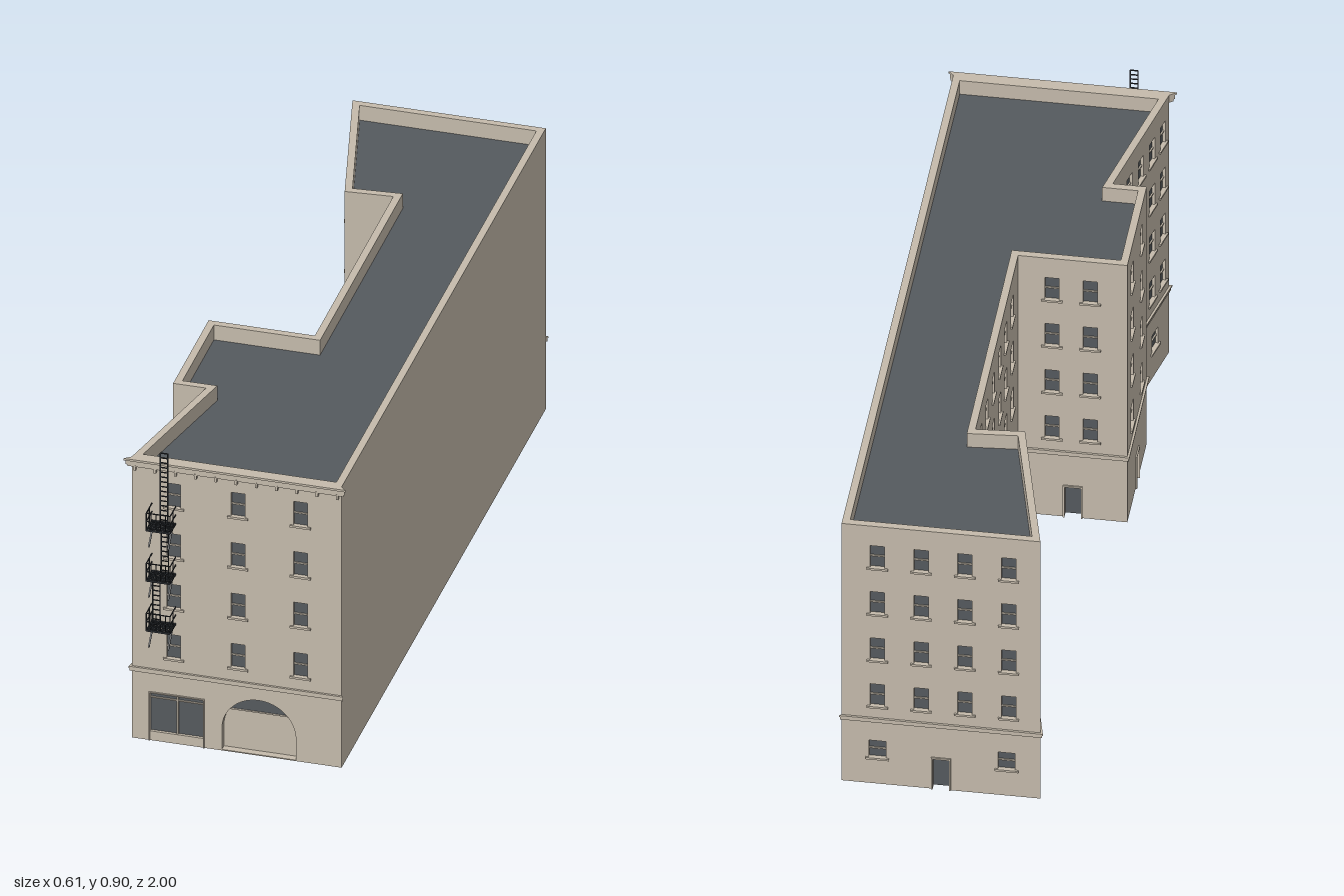
import * as THREE from 'three';

const mat = (name, color, side = THREE.FrontSide) => {
  const m = new THREE.MeshStandardMaterial({ color, side });
  m.name = name;
  return m;
};

const H = 0.855, T = 0.02, ROOF_Y = 0.81;
const ROWS = [0.258, 0.411, 0.565, 0.718]; // window bottoms on the upper floors

// Footprint corners (x, z), each wall running left to right as seen from outside
const PLAN = [[-0.29, 0.945], [0.283, 0.945], [0.288, -0.99], [-0.24, -0.99], [-0.13, -0.53],
  [0, -0.54], [0, 0.21], [-0.29, 0.21], [-0.29, 0.55], [-0.2, 0.55]];

// Per wall: upper window columns, ground windows and doors, as fractions of the length
const WALLS = [
  { name: 'frontWall', cols: [0.2, 0.506, 0.804], front: true },
  { name: 'sideWall', plain: true },
  { name: 'backWall', cols: [0.18, 0.4, 0.62, 0.84], small: [0.18, 0.83], doors: [0.5] },
  { name: 'rearSlantWall', cols: [0.2, 0.48, 0.77], small: [0.77], doors: [0.48] },
  { name: 'rearNotchWall' },
  { name: 'courtWall', cols: [0.12, 0.27, 0.42, 0.57, 0.71, 0.86], small: [0.15, 0.3, 0.71, 0.86], doors: [0.5] },
  { name: 'wingBackWall', cols: [0.31, 0.66], doors: [0.5] },
  { name: 'wingWall', cols: [0.25, 0.74], doors: [0.5] },
  { name: 'frontNotchWall' },
  { name: 'frontSlantWall', cols: [0.11, 0.3, 0.5, 0.7, 0.89], small: [0.75], doors: [0.5] },
];

export function createModel() {
  const stone = mat('stone', 0xc5bbac);
  const slate = mat('slate', 0x555a5e);
  const iron = mat('iron', 0x2b2f33);
  const model = new THREE.Group();
  model.name = 'building';

  const add = (parent, name, geo, material) => {
    const mesh = new THREE.Mesh(geo, material);
    mesh.name = name;
    parent.add(mesh);
    return mesh;
  };
  // Box given by its min and max corners
  const box = (parent, name, m, x0, x1, y0, y1, z0, z1) => add(parent, name,
    new THREE.BoxGeometry(x1 - x0, y1 - y0, z1 - z0)
      .translate((x0 + x1) / 2, (y0 + y1) / 2, (z0 + z1) / 2), m);

  const n = PLAN.length;
  const dir = PLAN.map((p, i) => {
    const q = PLAN[(i + 1) % n];
    return new THREE.Vector2(q[0] - p[0], -(q[1] - p[1]));
  });
  // Mitre slope at the start corner of each wall
  const slope = dir.map((b, i) => {
    const a = dir[(i + n - 1) % n];
    return Math.tan(Math.atan2(a.cross(b), a.dot(b)) / 2);
  });

  WALLS.forEach((w, i) => {
    const L = dir[i].length(), m0 = slope[i], m1 = slope[(i + 1) % n];
    const g = new THREE.Group();
    g.name = w.name;
    g.position.set(PLAN[i][0], 0, PLAN[i][1]);
    g.rotation.y = dir[i].angle();
    model.add(g);

    // Slide the end vertices so that neighbouring walls meet in a clean mitre
    const mitre = (geo) => {
      const p = geo.attributes.position;
      for (let k = 0; k < p.count; k++) {
        const x = p.getX(k), z = p.getZ(k);
        if (x < 1e-4) p.setX(k, x - z * m0);
        else if (x > L - 1e-4) p.setX(k, x + z * m1);
      }
      geo.computeVertexNormals();
      return geo;
    };
    const band = (name, y0, y1, out) => mitre(box(g, name, stone, 0, L, y0, y1, 0, out).geometry);

    const holes = [];
    const windowAt = (cx, y, wd, ht) => {
      const a = cx - wd / 2, b = cx + wd / 2;
      holes.push([a, b, y, y + ht]);
      box(g, 'windowGlass', slate, a, b, y, y + ht, -0.014, -0.008);
      box(g, 'windowRail', stone, a, b, y + ht / 2 - 0.002, y + ht / 2 + 0.002, -0.008, -0.004);
      box(g, 'windowSill', stone, a - 0.009, b + 0.009, y - 0.006, y, -0.004, 0.005);
    };
    for (const c of w.cols || []) for (const y of ROWS) windowAt(c * L, y, 0.038, 0.072);
    for (const c of w.small || []) windowAt(c * L, 0.087, 0.045, 0.055);

    // Wall outline, notched at the base for doors and the archway
    const s = new THREE.Shape();
    s.moveTo(0, 0);
    for (const c of w.doors || []) {
      const a = c * L - 0.022, b = c * L + 0.022, h = 0.1;
      s.lineTo(a, 0); s.lineTo(a, h); s.lineTo(b, h); s.lineTo(b, 0);
      box(g, 'door', slate, a, b, 0, h, -0.024, -0.018);
      for (const x of [a - 0.004, b]) box(g, 'doorJamb', stone, x, x + 0.004, 0, h, -0.01, 0.004);
      box(g, 'doorLintel', stone, a - 0.004, b + 0.004, h, h + 0.005, -0.01, 0.004);
    }
    if (w.front) {
      const cx = 0.347, r = 0.101, spring = 0.067;
      s.lineTo(cx - r, 0); s.lineTo(cx - r, spring);
      s.absarc(cx, spring, r, Math.PI, 0, true);
      s.lineTo(cx + r, 0);
      // Archway: fanlight over a recessed panel and a threshold
      box(g, 'archPanel', stone, cx - r, cx + r, 0, 0.124, -0.03, -0.02);
      box(g, 'archTransom', stone, cx - r, cx + r, 0.121, 0.125, -0.02, -0.014);
      box(g, 'archThreshold', stone, cx - r, cx + r, 0, 0.003, -0.02, 0);
      const fan = new THREE.Shape();
      const t = Math.asin((0.124 - spring) / r);
      fan.absarc(cx, spring, r, t, Math.PI - t, false);
      add(g, 'archFanlight', new THREE.ExtrudeGeometry(fan,
        { depth: 0.006, bevelEnabled: false, curveSegments: 20 }).translate(0, 0, -0.022), slate);
      // Shop window with frame, mullion and transom
      holes.push([0.05, 0.196, 0.028, 0.145]);
      box(g, 'shopGlass', slate, 0.05, 0.196, 0.028, 0.145, -0.014, -0.008);
      box(g, 'shopMullion', stone, 0.121, 0.126, 0.028, 0.145, -0.008, -0.002);
      box(g, 'shopTransom', stone, 0.05, 0.196, 0.128, 0.131, -0.008, -0.003);
      for (const x of [0.047, 0.196]) box(g, 'shopFrame', stone, x, x + 0.003, 0, 0.148, -0.005, 0.004);
      box(g, 'shopFrame', stone, 0.047, 0.199, 0.145, 0.148, -0.005, 0.004);
      // Cornice with brackets
      band('corniceBase', 0.83, 0.836, 0.008);
      band('corniceFace', 0.836, 0.849, 0.011);
      band('corniceCap', 0.849, H, 0.015);
      for (let k = 0; k < 11; k++) {
        const x = 0.01 + k * 0.0553;
        box(g, 'corniceBracket', stone, x - 0.003, x + 0.003, 0.819, 0.834, 0, 0.009);
      }
    }
    s.lineTo(L, 0); s.lineTo(L, H); s.lineTo(0, H); s.closePath();
    for (const [a, b, y0, y1] of holes) {
      s.holes.push(new THREE.Path([[a, y0], [a, y1], [b, y1], [b, y0]].map((p) => new THREE.Vector2(...p))));
    }
    add(g, 'wallFace', mitre(new THREE.ExtrudeGeometry(s,
      { depth: T, bevelEnabled: false, curveSegments: 24 }).translate(0, 0, -T)), stone);
    if (!w.plain) {
      band('stringCourse', 0.205, 0.214, 0.004);
      band('stringCourseCap', 0.214, 0.219, 0.006);
    }
  });

  // Flat roof set down behind the parapet
  const inner = PLAN.map(([x, z], i) => {
    const u = dir[i].clone().normalize(), k = T * 0.6;
    return new THREE.Vector2(x + k * (u.x * slope[i] - u.y), -z + k * (u.y * slope[i] + u.x));
  });
  add(model, 'roof', new THREE.ExtrudeGeometry(new THREE.Shape(inner),
    { depth: 0.01, bevelEnabled: false }).rotateX(-Math.PI / 2).translate(0, ROOF_Y - 0.01, 0), slate);

  // Fire escape
  const escape = new THREE.Group();
  escape.name = 'fireEscape';
  model.add(escape);
  const X0 = -0.235, X1 = -0.17, Z0 = 0.945, Z1 = 1, R = 0.0012;
  const bar = (name, x0, x1, y0, y1, z0, z1) => box(escape, name, iron, x0, x1, y0, y1, z0, z1);
  for (const y of [0.365, 0.517, 0.67]) {
    // Grated platform
    for (let k = 0; k <= 10; k++) {
      const x = X0 + (X1 - X0) * k / 10;
      bar('platformSlat', x - R, x + R, y - 0.002, y + 0.002, Z0, Z1);
    }
    for (let k = 0; k <= 4; k++) {
      const z = Z0 + 0.002 + (Z1 - Z0 - 0.004) * k / 4;
      bar('platformBeam', X0, X1, y - 0.003, y + 0.002, z - 0.002, z + 0.002);
    }
    // Railing
    for (const h of [0.027, 0.052]) {
      bar('handrail', X0, X1, y + h - R, y + h + R, Z1 - 2 * R, Z1);
      for (const x of [X0, X1]) bar('sideRail', x - R, x + R, y + h - R, y + h + R, Z0, Z1);
    }
    for (let k = 0; k <= 5; k++) {
      const x = X0 + (X1 - X0) * k / 5;
      bar('railPost', x - R, x + R, y, y + 0.052, Z1 - 2 * R, Z1);
    }
    for (const x of [X0, X1]) bar('railPost', x - R, x + R, y, y + 0.052, 0.97, 0.97 + 2 * R);
    // Slanted struts
    for (const x of [-0.229, -0.176]) {
      const strut = add(escape, 'strut', new THREE.BoxGeometry(0.004, 0.07, 0.004), iron);
      strut.position.set(x, y - 0.026, 0.973);
      strut.rotation.x = -Math.atan2(0.046, 0.05);
    }
  }
  // Ladders between the platforms and up past the parapet
  for (const [cx, y0, y1] of [[-0.213, 0.365, 0.517], [-0.19, 0.517, 0.67], [-0.192, 0.67, 0.9]]) {
    for (const x of [cx - 0.01, cx + 0.01]) bar('ladderRail', x - 0.0015, x + 0.0015, y0, y1, 0.978, 0.981);
    for (let y = y0 + 0.012; y < y1; y += 0.0145) {
      bar('ladderRung', cx - 0.01, cx + 0.01, y - R, y + R, 0.978, 0.981);
    }
  }
  return model;
}
